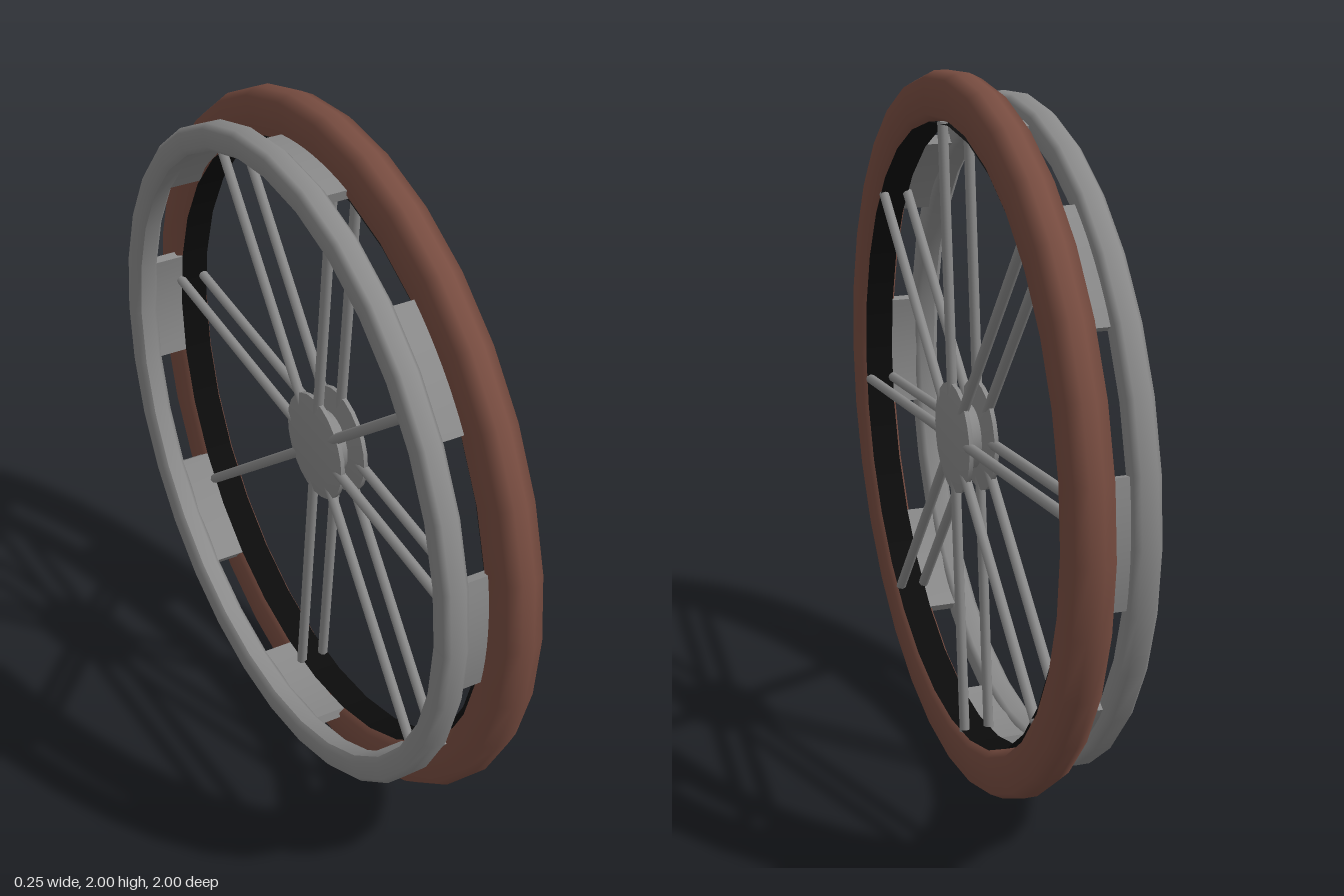
import * as THREE from 'three';
import { toCreasedNormals } from 'three/addons/utils/BufferGeometryUtils.js';

const rubber = new THREE.MeshStandardMaterial({ color: 0x774c40 });
rubber.name = 'brown rubber';
const metal = new THREE.MeshStandardMaterial({ color: 0x8a8a8a });
metal.name = 'grey metal';
const lining = new THREE.MeshStandardMaterial({ color: 0x0c0c0c, side: THREE.DoubleSide });
lining.name = 'black lining';

const TIRE_X = 0.068, RIM_X = -0.09, SIDES = 32;

// Spins a profile of [radius, x] points about the x axis
function spin(points, sides = SIDES) {
  const g = new THREE.LatheGeometry(points.map(([r, x]) => new THREE.Vector2(r, x)), sides);
  return g.rotateZ(-Math.PI / 2);
}

// Closed ring profile with rounded corners, running anticlockwise
function ringProfile(inner, outer, half, bevelR, bevelX) {
  return [
    [inner, -half + bevelX], [inner + bevelR, -half], [outer - bevelR, -half], [outer, -half + bevelX],
    [outer, half - bevelX], [outer - bevelR, half], [inner + bevelR, half], [inner, half - bevelX],
    [inner, -half + bevelX],
  ];
}

export function createModel() {
  const wheel = new THREE.Group();
  wheel.name = 'wheel';

  const add = (name, geometry, material, x = 0, parent = wheel) => {
    const m = new THREE.Mesh(geometry, material);
    m.name = name;
    m.position.x = x;
    parent.add(m);
    return m;
  };

  // Tire and the dark lining inside it
  add('tire', spin(ringProfile(0.867, 1, 0.052, 0.017, 0.034)), rubber, TIRE_X);
  add('rimLining', spin([[0.864, -0.042], [0.864, 0.042]]), lining, TIRE_X);

  // Push ring beside the tire
  add('handRim', spin(ringProfile(0.862, 0.937, 0.036, 0.014, 0.014)), metal, RIM_X);

  // Hub: two flanges with chamfered caps on a narrower core
  const half = [[0.09, 0.015], [0.155, 0.03], [0.155, 0.042], [0.115, 0.052], [0, 0.052]];
  const hubProfile = [...half.map(([r, x]) => [r, -x]).reverse(), ...half];
  add('hub', toCreasedNormals(spin(hubProfile, 24), 0.5), metal, TIRE_X - 0.006);

  // Two layers of eight spokes
  const spokes = new THREE.Group();
  spokes.name = 'spokes';
  wheel.add(spokes);
  const spokeGeo = new THREE.CylinderGeometry(0.015, 0.015, 0.76, 8).translate(0, 0.485, 0);
  for (const side of [-1, 1]) {
    for (let i = 0; i < 8; i++) {
      const s = add('spoke', spokeGeo, metal, TIRE_X - 0.006 + side * 0.036, spokes);
      s.rotation.x = 0.097 + i * Math.PI / 4;
    }
  }

  // Curved tabs joining the push ring to the tire
  const spread = 0.193, arc = new THREE.Shape();
  arc.absarc(0, 0, 0.9, Math.PI / 2 - spread, Math.PI / 2 + spread, false);
  arc.absarc(0, 0, 0.872, Math.PI / 2 + spread, Math.PI / 2 - spread, true);
  const tabGeo = toCreasedNormals(
    new THREE.ExtrudeGeometry(arc, { depth: 0.13, bevelEnabled: false, curveSegments: 4 })
      .rotateY(Math.PI / 2), 0.5);
  const tabs = new THREE.Group();
  tabs.name = 'handRimTabs';
  wheel.add(tabs);
  for (let i = 0; i < 8; i++) {
    add('handRimTab', tabGeo, metal, RIM_X, tabs).rotation.x = i * Math.PI / 4;
  }

  wheel.position.y = 1;
  const model = new THREE.Group();
  model.name = 'spokedWheel';
  model.add(wheel);
  return model;
}
